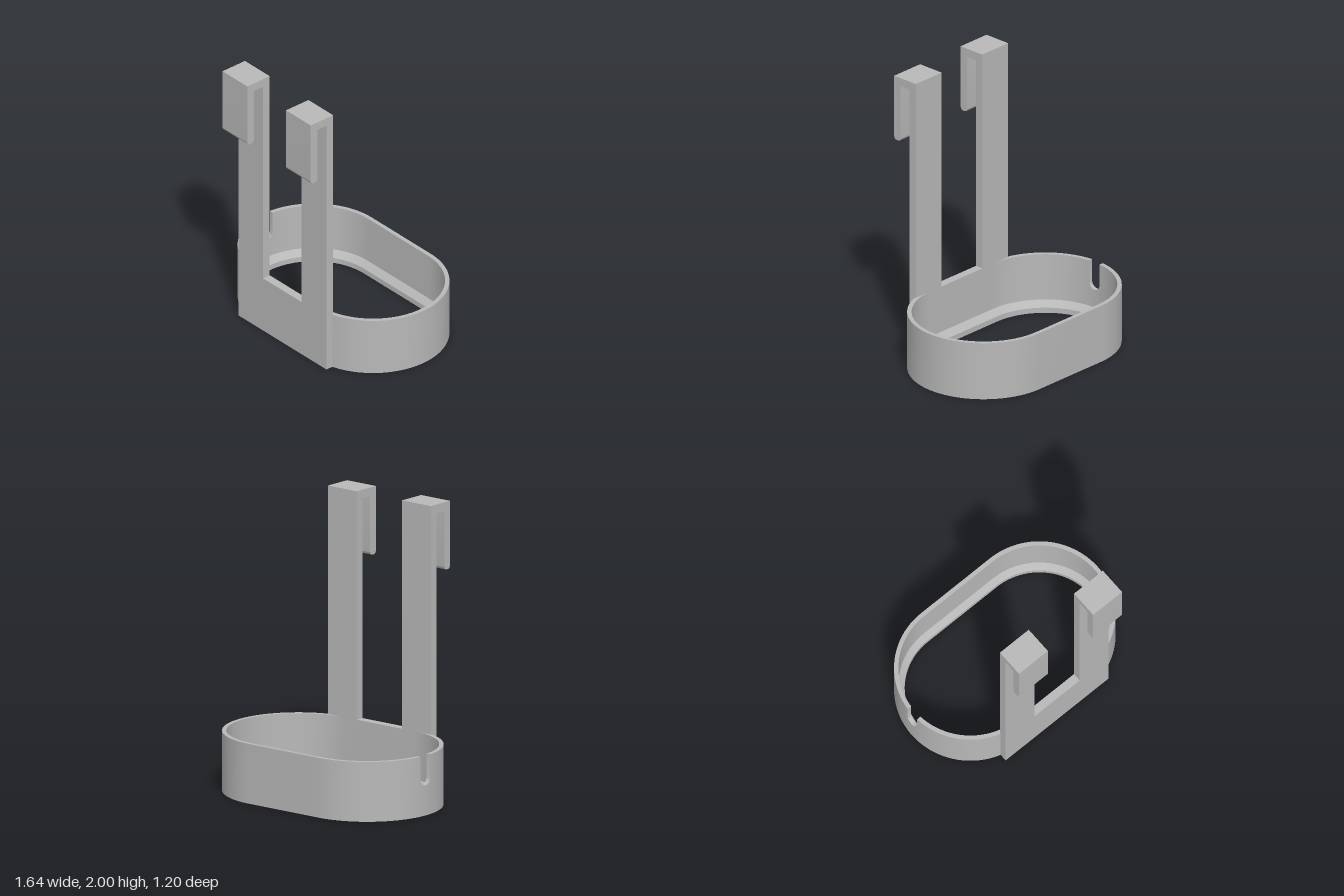
import * as THREE from 'three';
import { toCreasedNormals } from 'three/addons/utils/BufferGeometryUtils.js';

const HEIGHT = 0.415;      // ring height
const HALF_STRAIGHT = 0.305;
const CENTER_Z = -0.085;
const OUTER = 0.515, INNER = 0.485, LIP = 0.443;
const SLOT_R = 0.05, SLOT_Y = 0.26; // cable slot radius and arc centre height

// Oval ring swept around a stadium path, with a round-bottomed slot cut in the -x end
function ringGeometry() {
  const columns = [];
  const add = (a, cx, top = HEIGHT) => columns.push({ a, cx, top });
  const arc = (from, to, cx, n) => {
    for (let i = 0; i <= n; i++) add(from + (to - from) * i / n, cx);
  };
  const half = Math.asin(SLOT_R / OUTER);
  arc(-Math.PI / 2, Math.PI / 2, HALF_STRAIGHT, 48);
  arc(Math.PI / 2, Math.PI - half, -HALF_STRAIGHT, 22);
  for (let i = 0; i <= 16; i++) {
    const t = -Math.cos(Math.PI * i / 16);
    add(Math.PI + half * t, -HALF_STRAIGHT, SLOT_Y - SLOT_R * Math.sqrt(Math.max(0, 1 - t * t)));
  }
  arc(Math.PI + half, Math.PI * 1.5, -HALF_STRAIGHT, 22);

  // wall section with a sloped inner lip at the bottom
  const rows = columns.map(({ a, cx, top }) =>
    [[OUTER, 0], [OUTER, top], [INNER, top], [INNER, 0.08], [LIP, 0.038], [LIP, 0]].map(([r, y]) =>
      [cx + r * Math.cos(a), y, CENTER_Z + r * Math.sin(a)]));
  const pos = [];
  rows.forEach((row, i) => {
    const next = rows[(i + 1) % rows.length];
    row.forEach((p, j) => {
      const k = (j + 1) % row.length;
      pos.push(...p, ...row[k], ...next[j], ...row[k], ...next[k], ...next[j]);
    });
  });
  const g = new THREE.BufferGeometry();
  g.setAttribute('position', new THREE.Float32BufferAttribute(pos, 3));
  return toCreasedNormals(g, 0.5);
}

// Upright strap with a downward hook, drawn in side profile (z, y)
function hookGeometry(width) {
  const r = 0.024, tip = 1.53;
  const s = new THREE.Shape();
  s.moveTo(0.40, 0);
  s.lineTo(0.46, 0);
  s.lineTo(0.46, 1.94);
  s.lineTo(0.54, 1.94);
  s.lineTo(0.54, tip + r);
  s.absarc(0.54 + r, tip + r, r, Math.PI, Math.PI * 1.5, false);
  s.absarc(0.60 - r, tip + r, r, Math.PI * 1.5, Math.PI * 2, false);
  s.lineTo(0.60, 2);
  s.lineTo(0.40, 2);
  s.closePath();
  const g = new THREE.ExtrudeGeometry(s, { depth: width, bevelEnabled: false, curveSegments: 8 });
  g.translate(0, 0, -width / 2);
  g.rotateY(-Math.PI / 2);
  return toCreasedNormals(g, 0.5);
}

export function createModel() {
  const model = new THREE.Group();
  model.name = 'hangingHolder';
  const grey = new THREE.MeshStandardMaterial({ color: 0xb8b8b8 });
  grey.name = 'grey';
  const add = (name, geometry, x = 0, y = 0, z = 0) => {
    const mesh = new THREE.Mesh(geometry, grey);
    mesh.name = name;
    mesh.position.set(x, y, z);
    model.add(mesh);
  };

  add('ovalRing', ringGeometry());
  // plate joining the straps in front of the ring
  add('frontPlate', new THREE.BoxGeometry(0.4, HEIGHT, 0.06), 0, HEIGHT / 2, 0.43);
  // the two hanging straps
  const hook = hookGeometry(0.255);
  add('leftHook', hook, 0.3275);
  add('rightHook', hook, -0.3275);
  return model;
}
